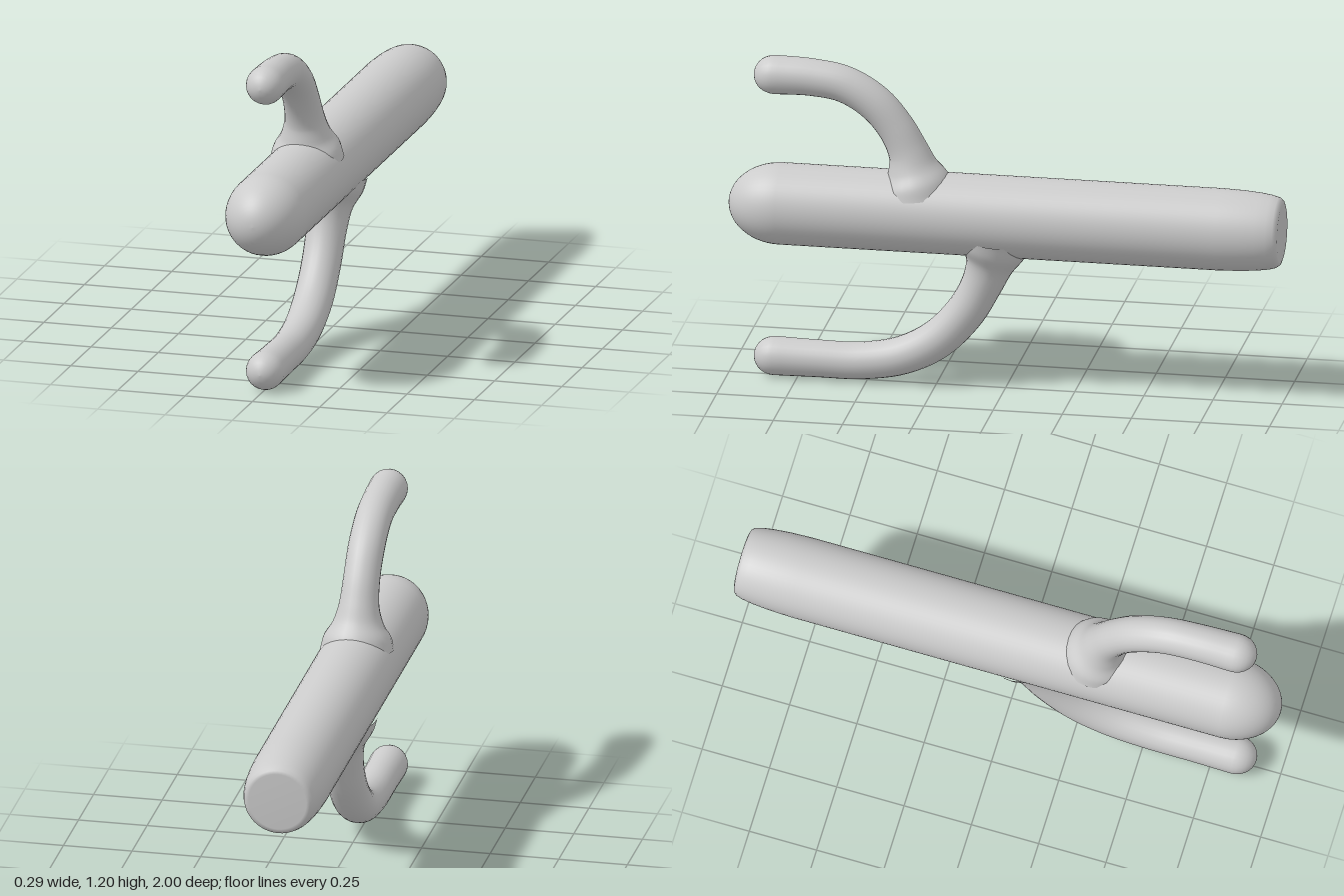
import * as THREE from 'three';

const material = new THREE.MeshStandardMaterial({ color: 0xcccccc });
const SIDES = 24;
const AXIS_Y = 0.646;
const RADIUS = 0.147;

// Round limb swept in the yz plane from a domed tip to a flared root.
// Stations are [z, y, radius], starting at the tip.
function sweepLimb(stations) {
  const curve = new THREE.CatmullRomCurve3(
    stations.map(([z, y, r]) => new THREE.Vector3(r, y, z)));
  const rings = [];
  const [tipZ, tipY, tipR] = stations[0];
  for (let i = 0; i < 7; i++) {
    const a = (i / 7) * Math.PI / 2;
    rings.push({ y: tipY, z: tipZ + 0.075 * Math.cos(a), r: Math.max(tipR * Math.sin(a), 0.0005), ty: 0, tz: -1 });
  }
  const steps = 48;
  for (let i = 0; i <= steps; i++) {
    const p = curve.getPoint(i / steps);
    const t = curve.getTangent(i / steps);
    const len = Math.hypot(t.y, t.z);
    rings.push({ y: p.y, z: p.z, r: p.x, ty: t.y / len, tz: t.z / len });
  }
  const positions = [], index = [];
  rings.forEach(({ y, z, r, ty, tz }, i) => {
    for (let j = 0; j < SIDES; j++) {
      const a = (j / SIDES) * Math.PI * 2;
      const s = Math.sin(a) * r;
      positions.push(Math.cos(a) * r, y + tz * s, z - ty * s);
      if (i === rings.length - 1) continue;
      const k = (j + 1) % SIDES;
      const a0 = i * SIDES + j, a1 = i * SIDES + k;
      index.push(a0, a1, a0 + SIDES, a1, a1 + SIDES, a0 + SIDES);
    }
  });
  const geometry = new THREE.BufferGeometry();
  geometry.setAttribute('position', new THREE.Float32BufferAttribute(positions, 3));
  geometry.setIndex(index);
  geometry.computeVertexNormals();
  return geometry;
}

function addPart(group, name, geometry) {
  const mesh = new THREE.Mesh(geometry, material);
  mesh.name = name;
  group.add(mesh);
  return mesh;
}

export function createModel() {
  const group = new THREE.Group();
  group.name = 'branchingCactus';

  // Trunk: flat end with a soft rim at the back, long dome at the front
  const profile = [
    [0, -1], [0.105, -1], [0.117, -0.996], [0.126, -0.985], [0.133, -0.96],
    [0.139, -0.92], [0.144, -0.86], [RADIUS, -0.78], [RADIUS, -0.3], [RADIUS, 0.3],
  ].map(([r, y]) => new THREE.Vector2(r, y));
  for (let i = 0; i <= 14; i++) {
    const a = (i / 14) * Math.PI / 2;
    profile.push(new THREE.Vector2(RADIUS * Math.cos(a), 0.81 + 0.19 * Math.sin(a)));
  }
  const trunk = addPart(group, 'trunk', new THREE.LatheGeometry(profile, 48));
  trunk.rotation.x = Math.PI / 2;
  trunk.position.y = AXIS_Y;

  // Upper arm
  addPart(group, 'upperArm', sweepLimb([
    [0.835, 1.13, 0.07], [0.7, 1.128, 0.067], [0.58, 1.108, 0.066],
    [0.47, 1.043, 0.066], [0.395, 0.955, 0.066], [0.352, 0.87, 0.073],
    [0.335, 0.81, 0.092], [0.325, 0.765, 0.12], [0.32, 0.72, 0.132],
  ]));

  // Lower arm, with a longer sweep
  addPart(group, 'lowerArm', sweepLimb([
    [0.835, 0.072, 0.07], [0.68, 0.071, 0.067], [0.52, 0.073, 0.067],
    [0.37, 0.103, 0.069], [0.245, 0.172, 0.071], [0.145, 0.28, 0.071],
    [0.085, 0.39, 0.074], [0.058, 0.465, 0.088], [0.045, 0.52, 0.12],
    [0.04, 0.57, 0.135],
  ]));

  return group;
}
